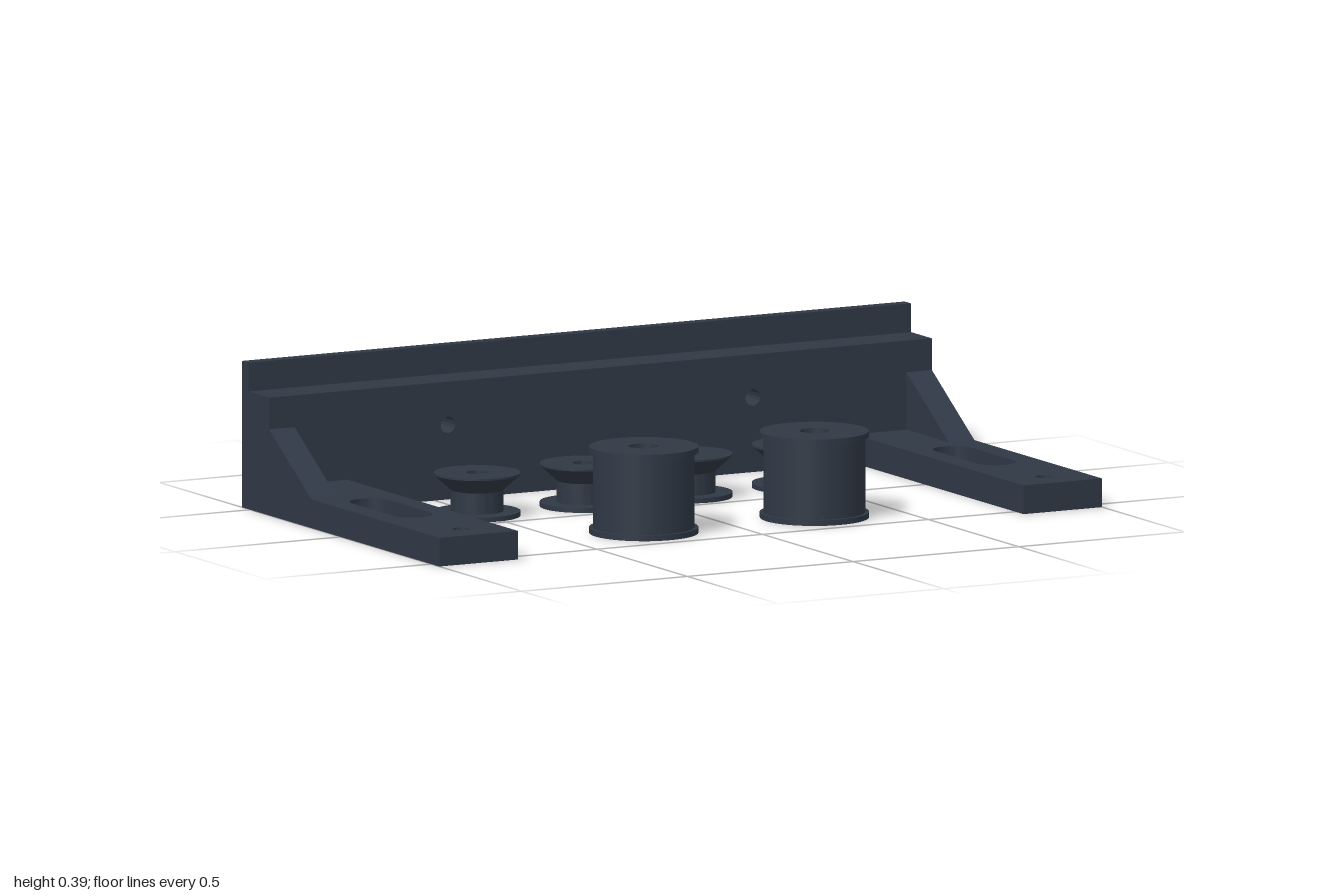
import * as THREE from 'three';
import { toCreasedNormals } from 'three/addons/utils/BufferGeometryUtils.js';

const slate = new THREE.MeshStandardMaterial({ color: 0x2f3845 });
slate.name = 'slate';

function add(parent, name, geometry) {
  const mesh = new THREE.Mesh(geometry, slate);
  mesh.name = name;
  parent.add(mesh);
  return mesh;
}

const circle = (x, y, r) => new THREE.Path().absarc(x, y, r, 0, Math.PI * 2, true);

const polygon = (pts) => new THREE.Shape(pts.map(([x, y]) => new THREE.Vector2(x, y)));

const rect = (x0, y0, x1, y1) => polygon([[x0, y0], [x1, y0], [x1, y1], [x0, y1]]);

function extrude(shape, depth, holes = []) {
  shape.holes.push(...holes);
  return toCreasedNormals(new THREE.ExtrudeGeometry(shape, { depth, bevelEnabled: false, curveSegments: 24 }), 0.6);
}

// Extrusion lying flat: shape y points to -z, thickness goes up from y0
const slab = (shape, y0, height, holes) =>
  extrude(shape, height, holes).rotateX(-Math.PI / 2).translate(0, y0, 0);

const lathe = (pts) =>
  toCreasedNormals(new THREE.LatheGeometry(pts.map(([r, y]) => new THREE.Vector2(r, y)), 64), 0.5);

// Patch of a spool's wall with a counterbored hole facing +x
const R = 0.135, WALL_LOW = 0.015, WALL_HIGH = 0.217, GAP = 0.45;
function holePatch() {
  const halfW = R * Math.sin(GAP), halfH = (WALL_HIGH - WALL_LOW) / 2, mid = WALL_LOW + halfH;
  const corners = [[1, -1], [1, 1], [-1, 1], [-1, -1]];
  const border = [];
  for (let s = 0; s < 4; s++) {
    const a = corners[s], b = corners[(s + 1) % 4];
    for (let i = 0; i < 12; i++) {
      const t = i / 12;
      border.push([(a[0] + (b[0] - a[0]) * t) * halfW, (a[1] + (b[1] - a[1]) * t) * halfH]);
    }
  }
  const place = (p, q, x) => [x ?? Math.sqrt(R * R - p * p), mid + q, -p];
  const ring = (r, x) => border.map(([p, q]) => {
    const t = Math.atan2(q / halfH, p / halfW);
    return place(r * Math.cos(t), r * Math.sin(t), x);
  });
  const rings = [border.map(([p, q]) => place(p, q)), ring(0.043), ring(0.043, 0.085), ring(0.022, 0.085), ring(0.022, 0.035)];
  const positions = [];
  for (let k = 0; k < rings.length - 1; k++) {
    const A = rings[k], B = rings[k + 1];
    for (let i = 0; i < A.length; i++) {
      const j = (i + 1) % A.length;
      positions.push(...A[i], ...A[j], ...B[j], ...A[i], ...B[j], ...B[i]);
    }
  }
  const g = new THREE.BufferGeometry();
  g.setAttribute('position', new THREE.Float32BufferAttribute(positions, 3));
  return toCreasedNormals(g, 0.6);
}

function largeSpool() {
  const spool = new THREE.Group();
  spool.name = 'largeSpool';
  add(spool, 'topFlangeAndBore', lathe([
    [R, WALL_HIGH], [0.145, WALL_HIGH], [0.145, 0.232], [0.04, 0.232], [0.04, 0.01]]));
  // Wall wraps all the way round except for the hole patch
  add(spool, 'wall', new THREE.CylinderGeometry(R, R, WALL_HIGH - WALL_LOW, 64, 1, true,
    Math.PI / 2 + GAP, Math.PI * 2 - 2 * GAP).translate(0, (WALL_HIGH + WALL_LOW) / 2, 0));
  add(spool, 'wallWithScrewHole', holePatch());
  // Bottom flange with a nut slot and its pocket
  const disc = new THREE.Shape().absarc(0, 0, 0.145, 0, Math.PI * 2, false);
  add(spool, 'bottomFlange', slab(disc, 0, 0.015, [circle(0, 0, 0.04), rect(0.075, -0.035, 0.105, 0.035)]));
  add(spool, 'nutPocket', slab(rect(0.07, -0.04, 0.11, 0.04), 0.015, 0.045, [rect(0.075, -0.035, 0.105, 0.035)]));
  add(spool, 'nutPocketEnd', new THREE.BoxGeometry(0.04, 0.008, 0.08).translate(0.09, 0.064, 0));
  return spool;
}

export function createModel() {
  const model = new THREE.Group();
  model.name = 'bracketWithSpools';

  // Back rail: thick lower beam with a taller thin plate behind it
  const boltHoles = () => [circle(-0.46, 0.2, 0.022), circle(0.46, 0.2, 0.022)];
  add(model, 'railBeam', extrude(rect(-1, 0, 1, 0.316), 0.115, boltHoles()).translate(0, 0, -0.51));
  add(model, 'railBackPlate', extrude(rect(-1, 0, 1, 0.393), 0.035, boltHoles()).translate(0, 0, -0.545));

  // Side arms with slot, screw hole and sloped gusset
  for (const side of [-1, 1]) {
    const cx = side * 0.88;
    const slot = new THREE.Path()
      .absarc(cx, 0.055, 0.055, 0, Math.PI, false)
      .absarc(cx, -0.175, 0.055, Math.PI, Math.PI * 2, false);
    slot.closePath();
    const x0 = side > 0 ? 0.763 : -1;
    add(model, side > 0 ? 'leftArm' : 'rightArm',
      slab(rect(x0, -0.545, x0 + 0.237, 0.395), 0, 0.077, [slot, circle(cx, -0.445, 0.023)]));
    add(model, side > 0 ? 'leftGusset' : 'rightGusset',
      extrude(polygon([[0.16, 0.077], [0.395, 0.077], [0.395, 0.231]]), 0.077)
        .rotateY(Math.PI / 2).translate(side > 0 ? 0.923 : -1, 0, 0));
  }

  // Row of small flared spools
  const flared = lathe([[0.028, 0], [0.115, 0], [0.115, 0.013], [0.07, 0.013], [0.07, 0.07],
    [0.115, 0.111], [0.115, 0.116], [0.028, 0.116], [0.028, 0]]);
  for (let i = 0; i < 4; i++) {
    add(model, 'smallSpool', flared).position.set(-0.516 + i * 0.32, 0, -0.132);
  }

  // Two large spools in front
  for (const x of [-0.26, 0.255]) {
    const spool = largeSpool();
    spool.position.set(x, 0, 0.32);
    model.add(spool);
  }
  return model;
}
